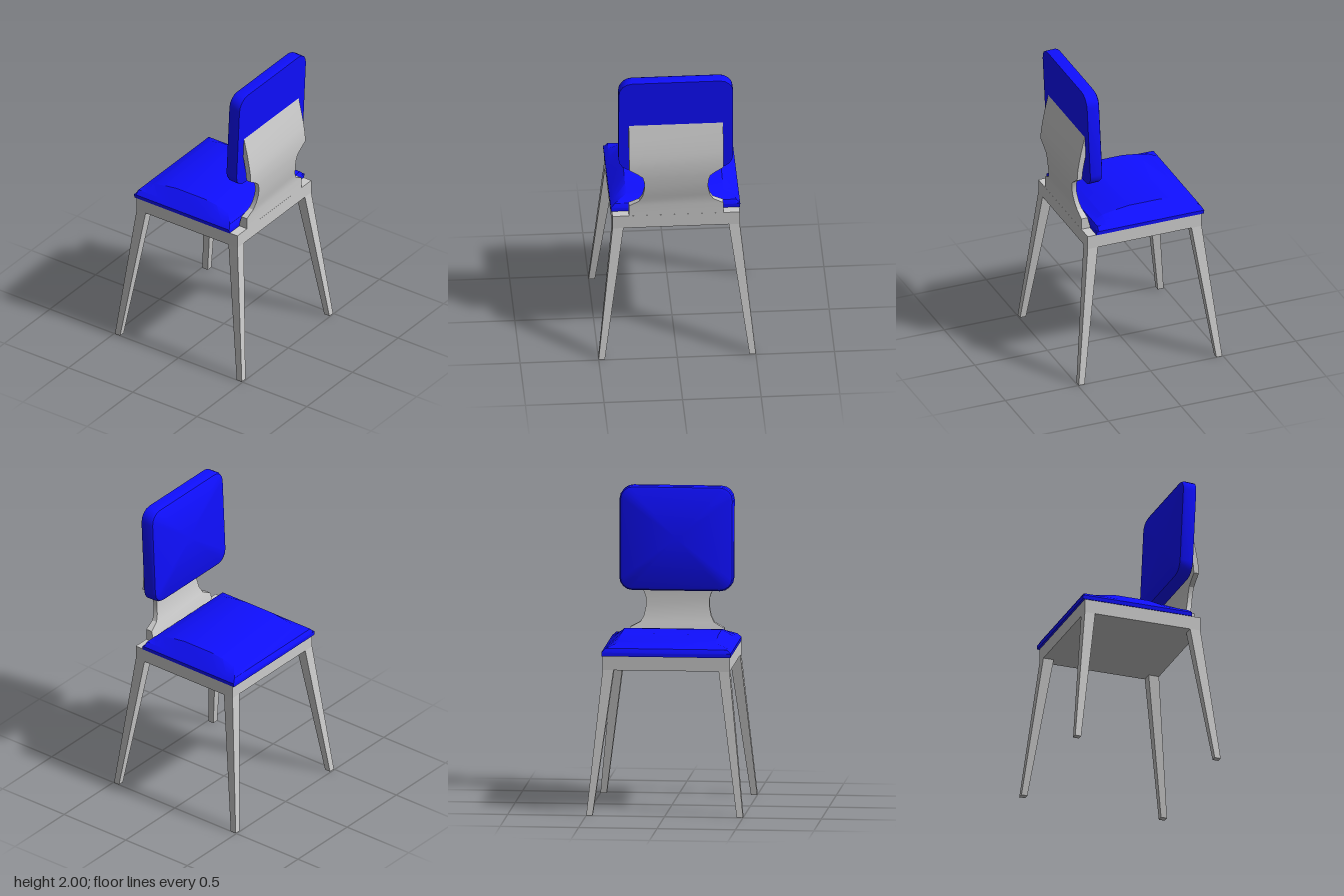
import * as THREE from 'three';
import { toCreasedNormals } from 'three/addons/utils/BufferGeometryUtils.js';

const grey = new THREE.MeshStandardMaterial({ color: 0xcccccc });
const blue = new THREE.MeshStandardMaterial({ color: 0x0f0fff });

// Solid skinned over convex rings of [x, y, z]; rings run counter-clockwise about the loft direction
function loft(rings, crease = 0.5) {
  const n = rings[0].length, pos = rings.flat(), index = [];
  for (let i = 0; i < rings.length - 1; i++) {
    for (let j = 0; j < n; j++) {
      const k = (j + 1) % n, a = i * n + j, b = i * n + k;
      index.push(a, b, b + n, a, b + n, a + n);
    }
  }
  for (const i of [0, rings.length - 1]) {
    const c = pos.length;
    pos.push([0, 1, 2].map(d => rings[i].reduce((s, p) => s + p[d], 0) / n));
    for (let j = 0; j < n; j++) {
      const a = i * n + j, b = i * n + (j + 1) % n;
      if (i) index.push(c, a, b);
      else index.push(c, b, a);
    }
  }
  const g = new THREE.BufferGeometry();
  g.setAttribute('position', new THREE.Float32BufferAttribute(pos.flat(), 3));
  g.setIndex(index);
  return toCreasedNormals(g, crease);
}

// Horizontal rectangle used as a ring for upright lofts
const rect = (y, x0, x1, z0, z1) => [[x0, y, z1], [x1, y, z1], [x1, y, z0], [x0, y, z0]];

// Rounded rectangle ring in the xy plane
function roundedRing(w, h, r, z) {
  const pts = [];
  for (const [sx, sy, start] of [[1, 1, 0], [-1, 1, 1], [-1, -1, 2], [1, -1, 3]]) {
    for (let i = 0; i <= 4; i++) {
      const a = (start + i / 4) * Math.PI / 2;
      pts.push([sx * (w - r) + r * Math.cos(a), sy * (h - r) + r * Math.sin(a), z]);
    }
  }
  return pts;
}

export function createModel() {
  const model = new THREE.Group();
  const add = (name, geometry, material) => {
    const mesh = new THREE.Mesh(geometry, material);
    mesh.name = name;
    model.add(mesh);
    return mesh;
  };

  // Seat frame
  add('seatFrame', new THREE.BoxGeometry(0.81, 0.09, 0.785), grey).position.y = 0.965;

  // Splayed, tapering legs
  for (const sx of [-1, 1]) for (const sz of [-1, 1]) {
    const section = (y, cx, cz, h) =>
      rect(y, sx * cx - h, sx * cx + h, sz * cz - h, sz * cz + h);
    const name = (sz > 0 ? 'back' : 'front') + (sx > 0 ? 'Left' : 'Right') + 'Leg';
    add(name, loft([section(0, 0.48, 0.474, 0.02), section(0.92, 0.37, 0.3575, 0.035)]), grey);
  }

  // Domed seat cushion: distance from the middle, crown height
  const half = [[0.37, 1.035], [0.355, 1.06], [0.29, 1.09], [0.2, 1.108], [0.11, 1.12]];
  const stations = [
    ...half.map(([d, y]) => [-d, y]),
    ...half.slice().reverse(),
  ];
  add('seatCushion', loft(stations.map(([d, top]) => {
    const side = [[0.41, 1.01], [0.412, 1.035], [0.385, Math.min(top, 1.06)], [0.31, top]];
    const outline = [...side, ...side.slice().reverse().map(([x, y]) => [-x, y])];
    return outline.map(([x, y]) => [x, y, d - 0.037]);
  }), 0.55), blue);

  // Curved, waisted back support: height, half width, inner z, outer z
  const support = [
    [1.01, 0.3, 0.33, 0.392], [1.085, 0.3, 0.348, 0.392], [1.12, 0.235, 0.36, 0.394],
    [1.16, 0.214, 0.371, 0.402], [1.22, 0.202, 0.382, 0.412], [1.27, 0.203, 0.386, 0.417],
    [1.31, 0.215, 0.388, 0.42], [1.335, 0.245, 0.388, 0.421], [1.37, 0.3, 0.388, 0.421],
    [1.42, 0.3, 0.384, 0.419], [1.48, 0.3, 0.374, 0.41], [1.56, 0.3, 0.358, 0.395],
    [1.675, 0.3, 0.335, 0.368],
  ];
  add('backSupport', loft(support.map(([y, w, zi, zo]) => rect(y, -w, w, zi, zo))), grey);

  // Padded backrest, softened toward the sitter and leaning back
  const pad = [[0.025, -0.046], [0.008, -0.038], [0, -0.022], [0, 0.046]];
  const backrest = add('backrestPad', loft(
    pad.map(([inset, z]) => roundedRing(0.364 - inset, 0.334 - inset, 0.085 - inset, z)), 0.6), blue);
  backrest.position.set(0, 1.665, 0.322);
  backrest.rotation.x = 0.045;

  return model;
}
